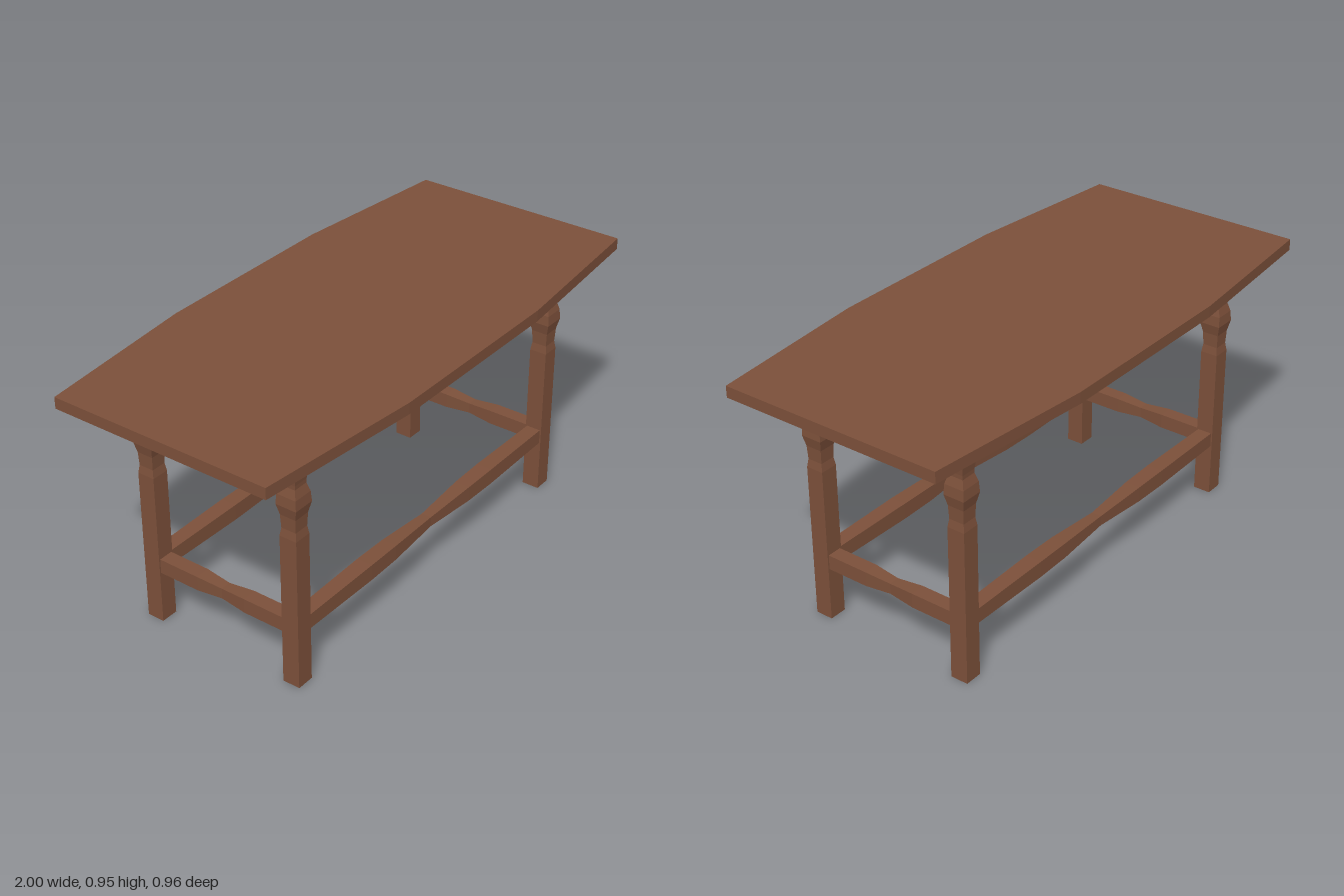
import * as THREE from 'three';

const wood = new THREE.MeshStandardMaterial({ color: 0x7c503a, flatShading: true, side: THREE.DoubleSide });

// Square bar with open ends: sections are [half width, position along y]
function squareBar(sections) {
  const points = sections.map(([half, y]) => new THREE.Vector2(half * Math.SQRT2, y));
  return new THREE.LatheGeometry(points, 4, Math.PI / 4);
}

// Horizontal bar, mirrored about its waist: list runs from the waist outward
function stretcherBar(halfList) {
  const lower = halfList.slice(1).reverse().map(([h, d]) => [h, -d]);
  return squareBar([...lower, ...halfList]);
}

export function createModel() {
  const table = new THREE.Group();
  table.name = 'table';
  const add = (name, geometry, x, y, z) => {
    const mesh = new THREE.Mesh(geometry, wood);
    mesh.name = name;
    mesh.position.set(x, y, z);
    table.add(mesh);
  };

  // Tabletop with tapered ends
  const outline = new THREE.Shape([
    [-1, -0.42], [-0.37, -0.478], [0.37, -0.478], [1, -0.42],
    [1, 0.42], [0.37, 0.478], [-0.37, 0.478], [-1, 0.42],
  ].map(([x, z]) => new THREE.Vector2(x, z)));
  const top = new THREE.ExtrudeGeometry(outline, { depth: 0.042, bevelEnabled: false });
  top.rotateX(-Math.PI / 2);
  add('tabletop', top, 0, 0.912, 0);

  // Legs, square with a shaped bulge near the top
  const leg = squareBar([
    [0.033, 0], [0.033, 0.58], [0.0285, 0.61], [0.031, 0.66], [0.04, 0.70],
    [0.0375, 0.738], [0.0285, 0.77], [0.029, 0.785], [0.033, 0.815], [0.033, 0.912],
  ]);
  const legXs = [-0.72, 0.732], legZ = 0.295, railY = 0.2275;
  for (const x of legXs) {
    for (const z of [-legZ, legZ]) add('leg', leg, x, 0, z);
  }

  // Long stretchers between the left and right legs
  const longRail = stretcherBar([[0.019, 0], [0.029, 0.22], [0.0305, 0.36], [0.0275, 0.7]]);
  longRail.rotateZ(Math.PI / 2);
  for (const z of [-legZ, legZ]) add('longStretcher', longRail, 0.006, railY, z);

  // Short stretchers between the front and back legs
  const shortRail = stretcherBar([[0.02, 0], [0.0275, 0.1], [0.0275, 0.27]]);
  shortRail.rotateX(Math.PI / 2);
  for (const x of legXs) add('shortStretcher', shortRail, x, railY, 0);

  return table;
}
